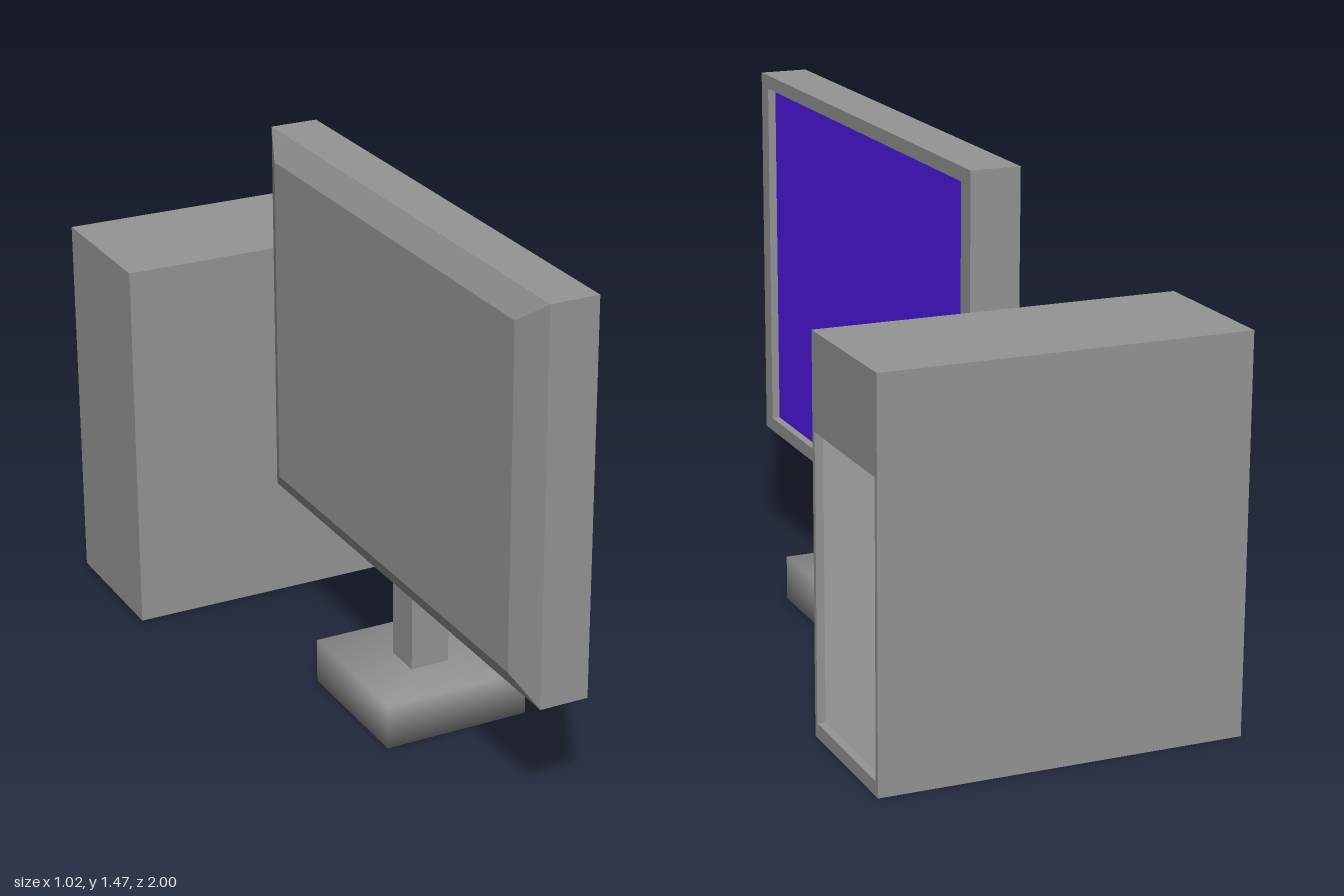
import * as THREE from 'three';
import { mergeVertices } from 'three/addons/utils/BufferGeometryUtils.js';

const RECESS = 0.025;
const caseGrey = new THREE.MeshStandardMaterial({ color: 0x949494 });
const panelGrey = new THREE.MeshStandardMaterial({ color: 0xcccccc });
const screenBlue = new THREE.MeshStandardMaterial({ color: 0x5019e8 });

function addMesh(parent, name, geometry, material) {
  const mesh = new THREE.Mesh(geometry, material);
  mesh.name = name;
  parent.add(mesh);
  return mesh;
}

// Box given by its limits on each axis
function boxBetween([x0, x1], [y0, y1], [z0, z1]) {
  return new THREE.BoxGeometry(x1 - x0, y1 - y0, z1 - z0)
    .translate((x0 + x1) / 2, (y0 + y1) / 2, (z0 + z1) / 2);
}

// Rectangle outline in the z/y plane, drawn with -z as its horizontal axis
function outline(Type, [y0, y1], [z0, z1]) {
  return new Type([[-z1, y0], [-z0, y0], [-z0, y1], [-z1, y1]]
    .map(([u, v]) => new THREE.Vector2(u, v)));
}

// Case facing +x, with a rectangular recess and a panel at the bottom of it
function recessedCase(name, xs, ys, zs, innerY, innerZ, panelName, panelMaterial) {
  const group = new THREE.Group();
  group.name = name;
  const floor = xs[1] - RECESS;
  addMesh(group, name + 'Body', boxBetween([xs[0], floor], ys, zs), caseGrey);

  const rim = outline(THREE.Shape, ys, zs);
  rim.holes.push(outline(THREE.Path, innerY, innerZ));
  const rimGeometry = new THREE.ExtrudeGeometry(rim, { depth: RECESS, bevelEnabled: false });
  addMesh(group, name + 'Rim', rimGeometry.rotateY(Math.PI / 2).translate(floor, 0, 0), caseGrey);

  const panel = new THREE.ShapeGeometry(outline(THREE.Shape, innerY, innerZ));
  addMesh(group, panelName, panel.rotateY(Math.PI / 2).translate(floor + 0.002, 0, 0), panelMaterial);
  return group;
}

export function createModel() {
  const model = new THREE.Group();
  model.name = 'desktopComputer';

  // Monitor and computer tower
  const monitorY = [0.36, 1.47], monitorZ = [-0.555, 1];
  const monitor = recessedCase('monitor', [-0.07, 0.07], monitorY, monitorZ,
    [0.4, 1.43], [-0.495, 0.945], 'screen', screenBlue);
  const tower = recessedCase('tower', [-0.515, 0.51], [0, 1.1], [-1, -0.565],
    [0.04, 0.835], [-0.985, -0.58], 'towerFrontPanel', panelGrey);
  model.add(monitor, tower);

  // Tapered back of the monitor: pull the rear corners inwards
  const back = boxBetween([-0.11, -0.07], monitorY, monitorZ);
  const p = back.attributes.position;
  for (let i = 0; i < p.count; i++) {
    if (p.getX(i) > -0.09) continue;
    p.setY(i, p.getY(i) > 0.9 ? 1.4 : 0.43);
    p.setZ(i, p.getZ(i) > 0.2 ? 0.9 : -0.455);
  }
  back.computeVertexNormals();
  addMesh(monitor, 'monitorBack', back, caseGrey);

  // Stand: square post on a base block with softly shaded corners
  addMesh(model, 'standPost', boxBetween([-0.06, 0.055], [0.12, 0.37], [0.17, 0.283]), caseGrey);
  let base = boxBetween([-0.217, 0.215], [0, 0.13], [0.005, 0.44]);
  base.deleteAttribute('normal');
  base.deleteAttribute('uv');
  base = mergeVertices(base);
  base.computeVertexNormals();
  addMesh(model, 'standBase', base, caseGrey);

  return model;
}
